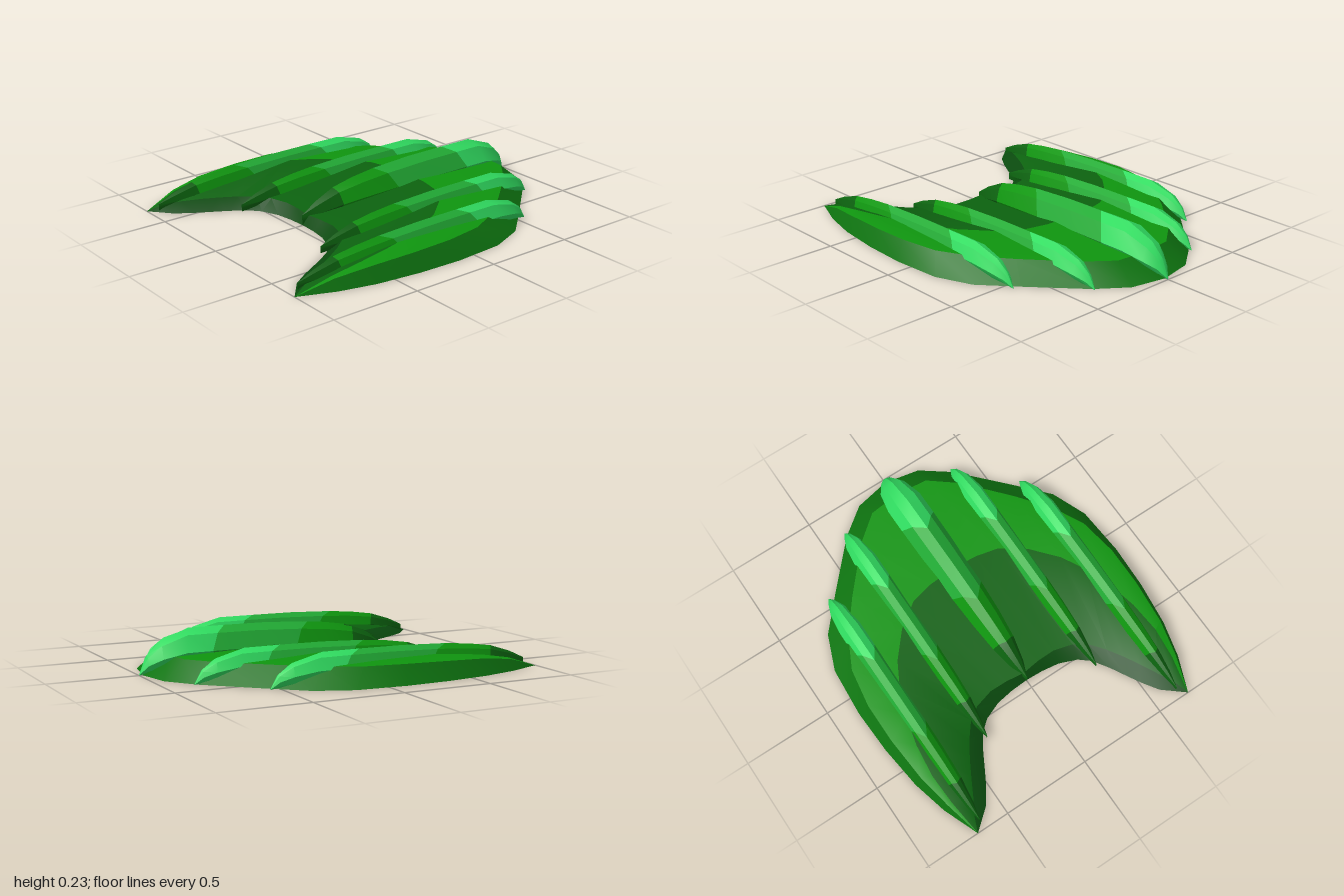
import * as THREE from 'three';
import { toCreasedNormals } from 'three/addons/utils/BufferGeometryUtils.js';

function mat(name, color) {
  const m = new THREE.MeshStandardMaterial({ color });
  m.name = name;
  return m;
}

// Skins closed rings of points; pick(station, side) gives the material index.
function loft(name, rings, materials, pick) {
  const buckets = materials.map(() => []);
  const n = rings[0].length;
  for (let i = 0; i < rings.length - 1; i++) {
    for (let j = 0; j < n; j++) {
      const k = (j + 1) % n;
      const p = rings[i][j], q = rings[i][k], r = rings[i + 1][k], s = rings[i + 1][j];
      buckets[pick(i, j)].push(...p, ...q, ...r, ...p, ...r, ...s);
    }
  }
  let geo = new THREE.BufferGeometry();
  geo.setAttribute('position', new THREE.Float32BufferAttribute(buckets.flat(), 3));
  let start = 0;
  buckets.forEach((b, m) => {
    if (b.length) geo.addGroup(start, b.length / 3, m);
    start += b.length / 3;
  });
  geo = toCreasedNormals(geo, 0.5);
  const mesh = new THREE.Mesh(geo, materials);
  mesh.name = name;
  return mesh;
}

// Crescent plate: concentric edges from the middle of the back to one tip.
function createPlate(materials) {
  const outer = [[0, -.98], [.2, -.94], [.36, -.82], [.6, -.56], [.76, -.38], [.84, -.18],
    [.86, .1], [.85, .35], [.82, .6], [.77, .8], [.69, 1]];
  const rim = [[0, -.84, .1], [.18, -.82, .1], [.33, -.7, .1], [.54, -.46, .1], [.68, -.28, .1], [.77, -.1, .1],
    [.805, .12, .1], [.805, .35, .095], [.785, .6, .085], [.745, .8, .06], [.69, 1, 0]];
  const arch = [[0, -.28, .12], [.15, -.27, .12], [.28, -.24, .12], [.42, -.14, .12], [.54, 0, .12], [.61, .13, .12],
    [.67, .28, .115], [.71, .45, .11], [.73, .63, .095], [.72, .8, .065], [.69, 1, 0]];
  const inner = [[0, .45], [.1, .455], [.2, .47], [.3, .51], [.36, .56], [.42, .65],
    [.47, .74], [.51, .81], [.57, .9], [.63, .95], [.69, 1]];
  const half = outer.map((o, i) => {
    const a = arch[i], e = inner[i];
    const f = 0.04 + 0.025 * i;
    const lip = [e[0] + (a[0] - e[0]) * f, 0.45 * a[2], e[1] + (a[1] - e[1]) * f];
    return [[o[0], 0, o[1]], [rim[i][0], rim[i][2], rim[i][1]], [a[0], a[2], a[1]], lip, [e[0], 0, e[1]]];
  });
  const mirrored = half.slice(1).reverse().map(r => r.map(([x, y, z]) => [-x, y, z]));
  const sideColour = [3, 2, 4, 5, 5];
  return loft('crescentPlate', [...mirrored, ...half], materials, (i, j) => sideColour[j]);
}

// Tapered ridge running front to back, its colour deepening towards the front.
function createRidge(name, x, back, front, width, height, materials) {
  const stations = [[0, .02, .02], [.03, .36, .45], [.08, .75, .75], [.19, 1, 1], [.33, 1, 1],
    [.5, .97, .99], [.67, .9, .93], [.77, .8, .85], [.86, .64, .73], [.94, .36, .5], [1, .01, .25]];
  const ring = [[0, 1], [-.58, .87], [-1, .5], [-.55, .2], [0, .08], [.55, .2], [1, .5], [.58, .87]];
  const rings = stations.map(([t, w, h]) => ring.map(([u, v]) => {
    const skew = 0.1 * Math.abs(u) * Math.sin(Math.PI * t) ** 2;
    return [x + u * w * width, v * h * height, back + (front - back) * (t - skew)];
  }));
  const bands = [0, 0, 0, 0, 1, 1, 2, 2, 4, 4];
  return loft(name, rings, materials, i => bands[i]);
}

export function createModel() {
  const materials = [
    mat('mintGreen', 0x30dc60),
    mat('leafGreen', 0x22ab35),
    mat('brightGreen', 0x0f950f),
    mat('rimGreen', 0x0e7410),
    mat('darkGreen', 0x0c620f),
    mat('deepGreen', 0x0a4a0e),
  ];
  const group = new THREE.Group();
  group.name = 'ridgedCrescent';
  group.add(createPlate(materials));
  group.add(createRidge('centreRidge', 0, -1, .455, .105, .232, materials));
  for (const [side, s] of [['left', 1], ['right', -1]]) {
    group.add(createRidge(side + 'MiddleRidge', s * .36, -.84, .6, .068, .168, materials));
    group.add(createRidge(side + 'OuterRidge', s * .645, -.555, .95, .066, .168, materials));
  }
  return group;
}
